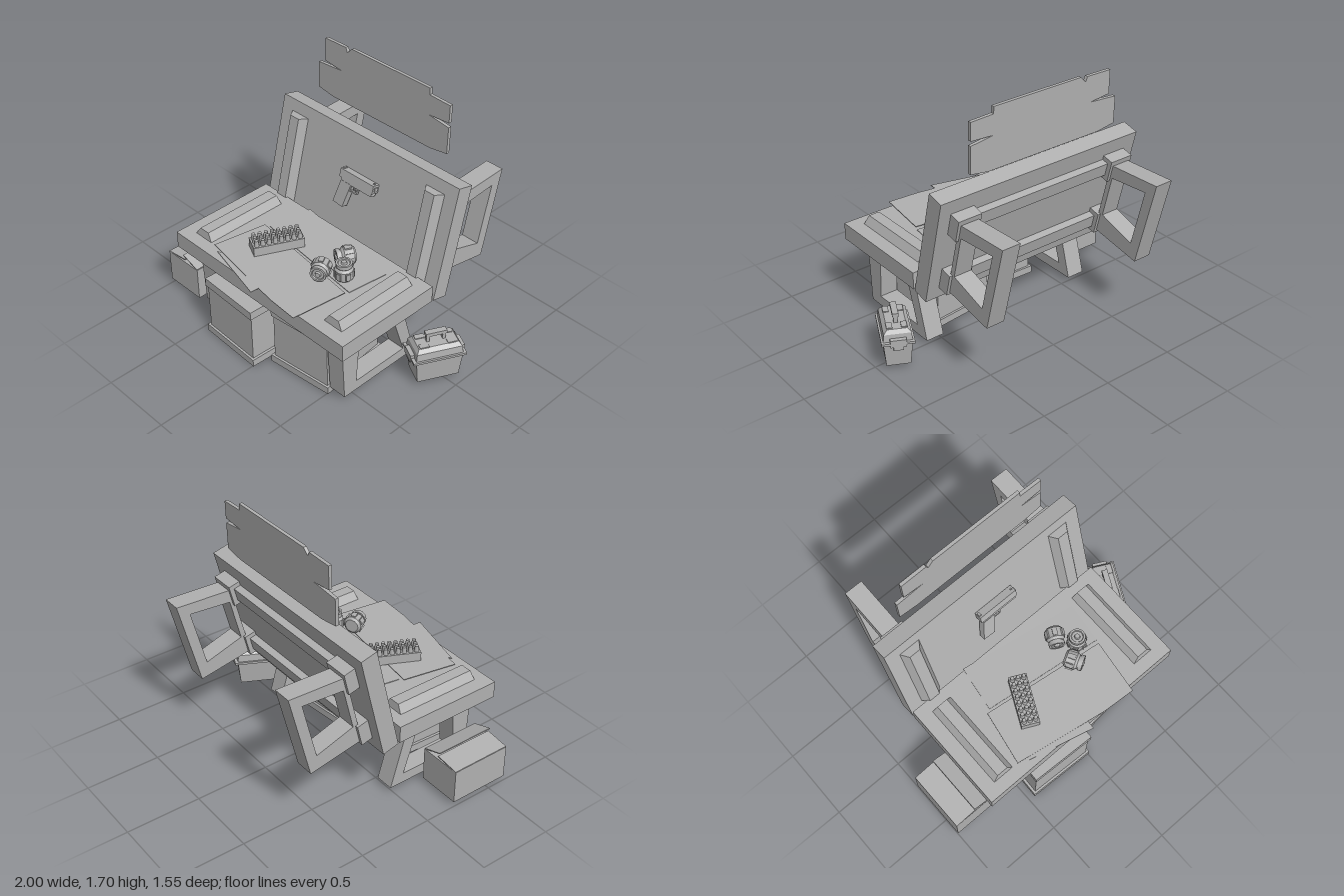
import * as THREE from 'three';
import { toCreasedNormals } from 'three/addons/utils/BufferGeometryUtils.js';

const grey = new THREE.MeshStandardMaterial({ color: 0xb0b0b0 });
grey.name = 'plain grey';
const thinGrey = grey; // closed thin plates share the one colour

function add(parent, name, geometry, x = 0, y = 0, z = 0) {
  const m = new THREE.Mesh(geometry, grey);
  m.name = name;
  m.position.set(x, y, z);
  parent.add(m);
  return m;
}

function group(parent, name, x = 0, y = 0, z = 0) {
  const g = new THREE.Group();
  g.name = name;
  g.position.set(x, y, z);
  parent.add(g);
  return g;
}

// Box given by its limits, with an optional taper of the top face
function block(parent, name, x0, x1, y0, y1, z0, z1, sx = 1, sz = 1) {
  const geo = new THREE.BoxGeometry(x1 - x0, y1 - y0, z1 - z0);
  const p = geo.attributes.position;
  for (let i = 0; i < p.count; i++) {
    if (p.getY(i) > 0) p.setXYZ(i, p.getX(i) * sx, p.getY(i), p.getZ(i) * sz);
  }
  geo.computeVertexNormals();
  return add(parent, name, geo, (x0 + x1) / 2, (y0 + y1) / 2, (z0 + z1) / 2);
}

const outline = (pts) => new THREE.Shape(pts.map(([x, y]) => new THREE.Vector2(x, y)));
const plate = (shape, depth) => new THREE.ExtrudeGeometry(shape, { depth, bevelEnabled: false });

// Table: slab, top bars, cross rails and two trapezoid leg frames
function makeTable(parent, name) {
  const t = group(parent, name, -0.0225, 0, 0);
  block(t, 'slab', -0.7525, 0.7525, 0.48, 0.595, -0.05, 0.71);
  const side = outline([[0.59, 0.04], [0.61, 0.42], [0.09, 0.42], [-0.02, 0.04]]);
  side.holes.push(new THREE.Path([[0.49, 0.11], [0.08, 0.11], [0.17, 0.385], [0.47, 0.385]]
    .map(([z, y]) => new THREE.Vector2(z, y))));
  for (const s of [-1, 1]) {
    const c = s * 0.585;
    block(t, 'topBar', c - 0.073, c + 0.073, 0.595, 0.648, 0.03, 0.625, 0.52, 0.97);
    const leg = add(t, 'legFrame', plate(side, 0.126), c + 0.063, 0, 0);
    leg.rotation.y = -Math.PI / 2;
    leg.position.x = c + 0.063;
    for (const z of [0.05, 0.475]) block(t, 'railBlock', c - 0.083, c + 0.083, 0.402, 0.48, z, z + 0.152);
  }
  for (const z of [0.08, 0.505]) block(t, 'crossRail', -0.51, 0.51, 0.432, 0.48, z, z + 0.09);
  return t;
}

// Cabinet with plinth and top trim
function makeCabinet(parent, name, x, z, turn) {
  const c = group(parent, name, x, 0, z);
  c.rotation.y = turn;
  block(c, 'plinth', -0.232, 0.232, 0, 0.05, -0.255, 0.265);
  block(c, 'cabinetBody', -0.215, 0.215, 0.05, 0.375, -0.24, 0.25);
  block(c, 'cabinetTop', -0.225, 0.225, 0.375, 0.432, -0.255, 0.262);
}

function makeToolbox(parent) {
  const b = group(parent, 'toolbox', 0.832, 0, 0.02);
  b.rotation.y = -0.47;
  block(b, 'toolboxBody', -0.075, 0.075, 0.03, 0.2, -0.135, 0.135, 1.2, 1.12);
  block(b, 'toolboxRim', -0.102, 0.102, 0.197, 0.213, -0.172, 0.172);
  block(b, 'lid', -0.09, 0.09, 0.213, 0.262, -0.152, 0.152, 0.94, 0.96);
  block(b, 'lidTop', -0.085, 0.085, 0.262, 0.287, -0.146, 0.146, 0.72, 0.88);
  for (const s of [-1, 1]) {
    block(b, 'handlePost', -0.013, 0.013, 0.287, 0.335, s * 0.052 - 0.01, s * 0.052 + 0.01);
    block(b, 'latch', -0.05, 0.05, 0.185, 0.235, s * 0.163 - 0.014, s * 0.163 + 0.014);
    block(b, 'latchTab', -0.03, 0.03, 0.158, 0.19, s * 0.158 - 0.012, s * 0.158 + 0.012);
    for (const e of [-1, 1]) {
      block(b, 'lidRib', e * 0.045 - 0.018, e * 0.045 + 0.018, 0.28, 0.293, s * 0.09 - 0.03, s * 0.09 + 0.03);
    }
  }
  block(b, 'handleGrip', -0.019, 0.019, 0.33, 0.354, -0.068, 0.068);
}

function makeCarton(parent) {
  const c = group(parent, 'carton');
  block(c, 'cartonBody', -1, -0.71, 0.035, 0.267, 0.21, 0.625);
  const flap = (name, x0, y0, x1, y1) => {
    const m = block(c, name, 0, Math.hypot(x1 - x0, y1 - y0), 0, 0.006, 0.21, 0.625);
    m.position.set((x0 + x1) / 2, (y0 + y1) / 2, 0.4175);
    m.rotation.z = Math.atan2(y1 - y0, x1 - x0);
  };
  flap('leftFlap', -0.998, 0.268, -0.835, 0.288);
  flap('rightFlap', -0.85, 0.317, -0.713, 0.27);
}

// Tray of rounds: open rows of small domed cylinders
function makeTray(parent) {
  const t = group(parent, 'roundsTray', -0.21, 0.604, 0.36);
  t.rotation.y = -0.45;
  block(t, 'trayBody', -0.06, 0.06, 0, 0.065, -0.165, 0.165);
  const round = new THREE.CylinderGeometry(0.012, 0.017, 0.04, 8);
  for (let i = 0; i < 3; i++) {
    for (let j = 0; j < 8; j++) add(t, 'round', round, (i - 1) * 0.037, 0.085, (j - 3.5) * 0.04);
  }
}

// Squat jar with collar, lid and raised centre
function makeJar(parent, x, z, lying, turn) {
  const profile = [[0, 0], [0.045, 0], [0.06, 0.014], [0.06, 0.075], [0.046, 0.09], [0.046, 0.097],
    [0.053, 0.097], [0.053, 0.122], [0.04, 0.122], [0.036, 0.115], [0.02, 0.115], [0.016, 0.128], [0, 0.128]];
  const geo = toCreasedNormals(
    new THREE.LatheGeometry(profile.map(([r, y]) => new THREE.Vector2(r, y)), 12), 0.6);
  const g = group(parent, 'jar', x, lying ? 0.666 : 0.604, z);
  g.rotation.y = turn;
  const body = add(g, 'jarBody', geo, 0, 0, lying ? -0.064 : 0);
  if (lying) body.rotation.x = Math.PI / 2;
  // grips around the side
  for (let i = 0; i < 6; i++) {
    const pivot = new THREE.Group();
    pivot.rotation.y = i * Math.PI / 3;
    body.add(pivot);
    block(pivot, 'jarGrip', -0.016, 0.016, 0.022, 0.068, 0.052, 0.065);
  }
}

function makePistol(parent) {
  const p = group(parent, 'pistol', 0, 0.9, -0.165);
  p.rotation.x = -0.242;
  block(p, 'slide', -0.14, 0.145, 0.03, 0.086, 0.005, 0.058);
  block(p, 'lowerFrame', -0.125, 0.135, 0.006, 0.03, 0.011, 0.052);
  block(p, 'muzzle', 0.145, 0.152, 0.045, 0.072, 0.018, 0.045);
  block(p, 'frontSight', 0.122, 0.134, 0.086, 0.094, 0.027, 0.036);
  block(p, 'rearSight', -0.135, -0.12, 0.086, 0.094, 0.018, 0.045);
  add(p, 'grip', plate(outline([[-0.125, 0.01], [-0.16, -0.155], [-0.075, -0.16], [-0.037, 0.01]]), 0.045), 0, 0, 0.009);
  const guard = outline([[-0.045, 0.01], [-0.052, -0.04], [0.008, -0.04], [0.018, 0.01]]);
  guard.holes.push(new THREE.Path([[-0.037, 0.006], [0.008, 0.006], [0.001, -0.031], [-0.042, -0.031]]
    .map(([x, y]) => new THREE.Vector2(x, y))));
  add(p, 'triggerGuard', plate(guard, 0.018), 0, 0, 0.023);
  block(p, 'trigger', -0.024, -0.015, -0.025, 0.01, 0.027, 0.037);
}

// Loose sheets lying on the table, outlines given in x and z
function makeSheets(parent) {
  const sheets = [
    [[-0.355, -0.06], [0.455, 0.07], [0.42, 0.35], [-0.4, 0.25]],
    [[-0.43, 0.66], [0.01, 0.77], [0.02, 0.6], [-0.35, 0.6]],
    [[-0.43, 0.265], [0.41, 0.375], [0.36, 0.75], [0.14, 0.735], [-0.495, 0.63]],
  ];
  sheets.forEach((pts, i) => {
    const s = add(parent, 'paperSheet', plate(outline(pts.map(([x, z]) => [x, -z])), 0.004), 0, 0.596 + i * 0.003, 0);
    s.rotation.x = -Math.PI / 2;
  });
}

// Hanging sign of two broken planks
function makeSign(parent) {
  const s = group(parent, 'sign', 0, 1.5, -0.372);
  s.rotation.x = -0.025;
  const pts = [[-0.56, -0.18], [-0.43, -0.2], [0.4, -0.2], [0.53, -0.18], [0.53, 0], [0.37, 0.02],
    [0.53, 0.03], [0.53, 0.148], [0.37, 0.153], [0.37, 0.198], [-0.275, 0.198], [-0.312, 0.16],
    [-0.325, 0.19], [-0.505, 0.187], [-0.505, 0.03], [-0.36, 0.015], [-0.56, 0]];
  add(s, 'signPlanks', plate(outline(pts), 0.022));
}

export function createModel() {
  const model = new THREE.Group();
  model.name = 'workshopStand';

  makeTable(model, 'table');
  // A second table tipped up behind forms the backboard
  const back = makeTable(model, 'backboard');
  back.rotation.x = 1.329;
  back.position.set(-0.0225, 1.026, -0.809);

  makeCabinet(model, 'leftCabinet', -0.215, 0.505, -0.04);
  makeCabinet(model, 'rightCabinet', 0.25, 0.375, 0.1);
  makeToolbox(model);
  makeCarton(model);
  makeSheets(model);
  makeTray(model);
  makeJar(model, 0.21, 0.18, true, -0.5);
  makeJar(model, 0.305, 0.28, false, 0.2);
  makeJar(model, 0.2, 0.375, true, 0.5);
  makePistol(model);
  makeSign(model);
  return model;
}
